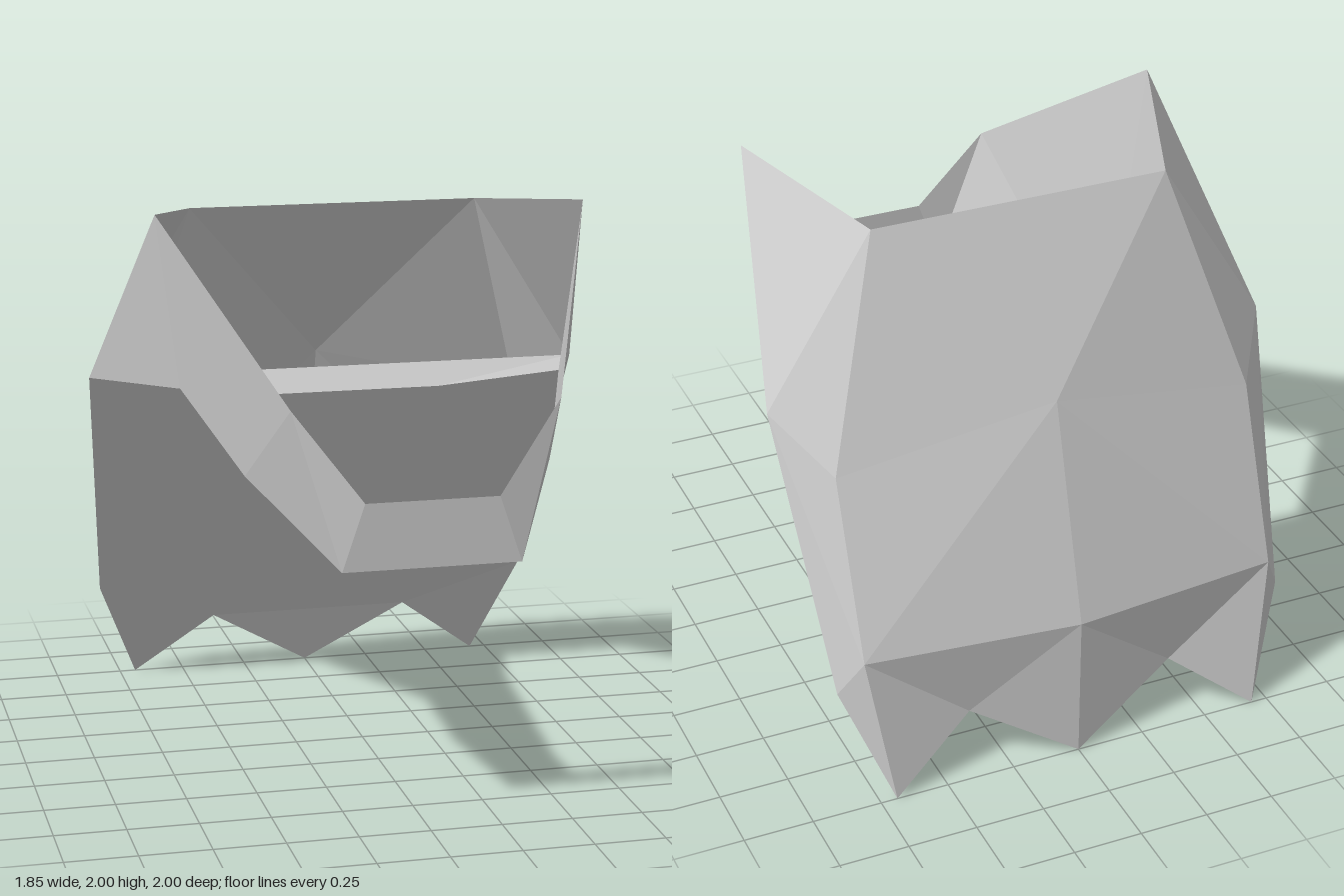
import * as THREE from 'three';

// Corner points of the left half (+x); the right half is mirrored.
const P = {
  hoodTop: [0.54, 1.925, -0.46],
  peak: [0.77, 2.0, 0.15],
  hip: [0.923, 1.31, -0.46],
  ridge: [0.77, 1.15, -0.69],
  lowRidge: [0.77, 0.54, -0.92],
  sideTip: [0.845, 0.39, -0.85],
  hemTip: [0.69, 0, -1.0],
  hemNotch: [0.385, 0.23, -0.92],
  spine: [0, 1.31, -0.77],
  lowSpine: [0, 0.54, -1.0],
  hemCentre: [0, 0, -1.0],
  strapLow: [0.69, 1.385, 0.15],
  strapBend: [0.54, 1.155, 0.54],
  collarTop: [0.46, 1.46, 0.92],
  collarLow: [0.308, 0.925, 1.0],
  collarInner: [0.23, 1.155, 1.0],
  neck: [0.385, 1.23, -0.385],
};

// A name starting with "-" is the mirrored point.
function point(name) {
  if (name[0] !== '-') return P[name];
  const [x, y, z] = P[name.slice(1)];
  return [-x, y, z];
}

function panel(name, faces, material) {
  const pos = [];
  for (const face of faces) {
    const c = face.split(' ').map(point);
    for (let i = 1; i < c.length - 1; i++) pos.push(...c[0], ...c[i], ...c[i + 1]);
  }
  const geometry = new THREE.BufferGeometry();
  geometry.setAttribute('position', new THREE.Float32BufferAttribute(pos, 3));
  geometry.computeVertexNormals();
  const mesh = new THREE.Mesh(geometry, material);
  mesh.name = name;
  return mesh;
}

// Mirrored copy of the faces, with the corner order reversed.
const mirror = (faces) =>
  faces.map((f) => f.split(' ').reverse().map((n) => '-' + n).join(' '));

export function createModel() {
  const group = new THREE.Group();
  group.name = 'hoodedCape';
  const grey = new THREE.MeshStandardMaterial({ color: 0xcccccc, side: THREE.DoubleSide, flatShading: true });
  grey.name = 'grey';

  const halves = {
    // back panel, narrowing down to the lower ridge
    BackPanel: ['hoodTop ridge spine', 'spine ridge lowRidge', 'spine lowRidge lowSpine'],
    // folded-over side edge of the back
    SideFold: ['hoodTop hip ridge', 'lowRidge ridge hip', 'lowRidge hip sideTip', 'lowRidge sideTip hemTip'],
    // pointed hem
    Hem: ['lowSpine lowRidge hemNotch', 'lowRidge hemTip hemNotch', 'lowSpine hemNotch hemCentre'],
    // outer part of the lining inside the back
    SideLining: ['sideTip hip hemNotch', 'hemTip sideTip hemNotch'],
    // shoulder peak
    Shoulder: ['hip hoodTop peak', 'hip peak strapLow', 'hip strapLow neck'],
    // strap running forward to the collar
    Strap: ['strapLow peak strapBend', 'strapBend peak collarTop', 'strapBend collarTop collarLow',
      'collarLow collarTop collarInner'],
  };
  for (const [part, faces] of Object.entries(halves)) {
    group.add(panel('left' + part, faces, grey));
    group.add(panel('right' + part, mirror(faces), grey));
  }

  // pieces crossing the middle
  group.add(panel('upperBackPanel', ['hoodTop spine -hoodTop'], grey));
  group.add(panel('middleLining', ['hemNotch hip -hip -hemNotch', 'hemCentre hemNotch -hemNotch'], grey));
  group.add(panel('neckBar', ['hip neck -neck -hip'], grey));
  group.add(panel('frontBar', ['collarLow collarInner -collarInner -collarLow'], grey));
  return group;
}
